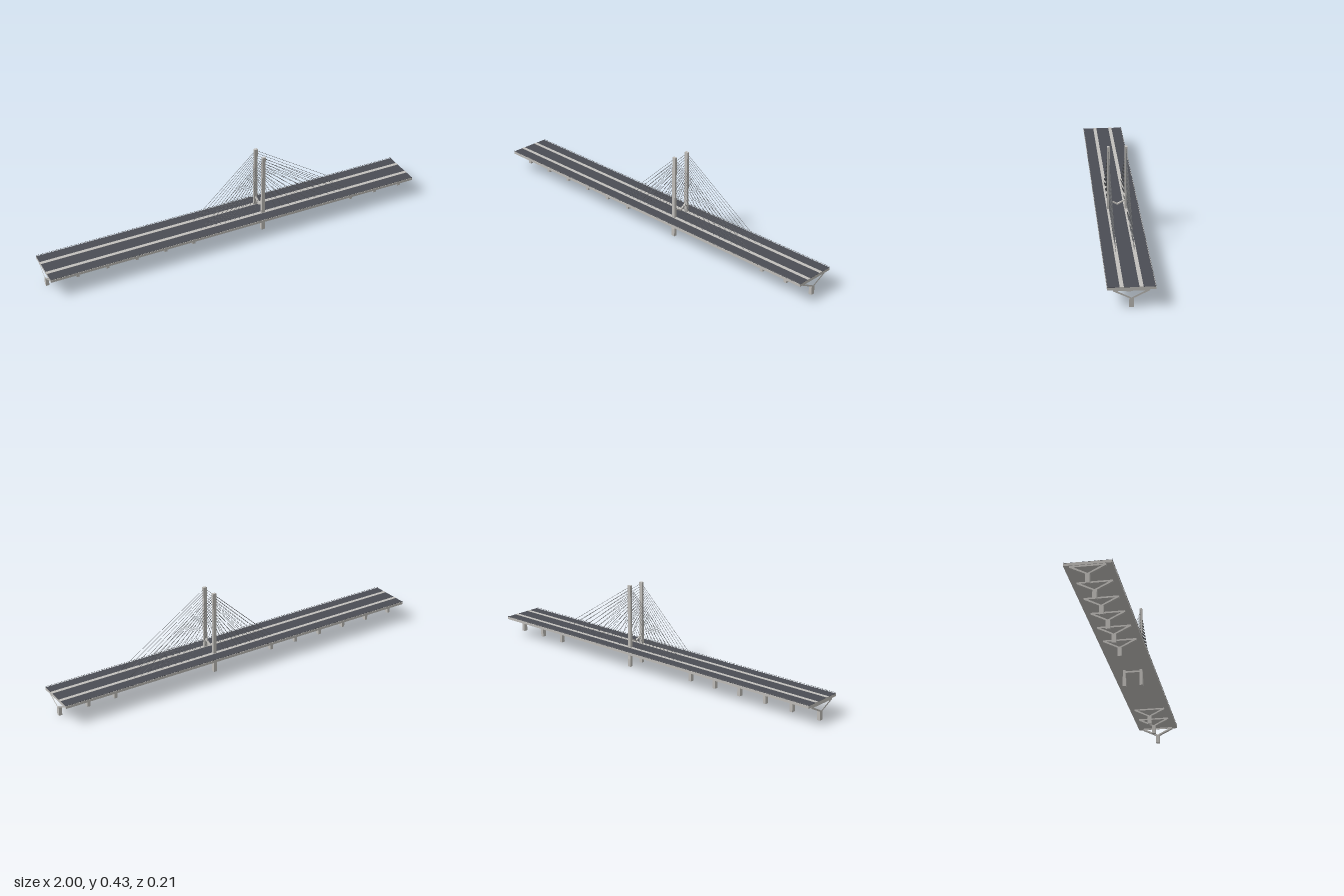
import * as THREE from 'three';

const concrete = new THREE.MeshStandardMaterial({ color: 0xc2c0bc });
concrete.name = 'concrete';
const asphalt = new THREE.MeshStandardMaterial({ color: 0x4b4d54 });
asphalt.name = 'asphalt';
const steel = new THREE.MeshStandardMaterial({ color: 0x66686b });
steel.name = 'steel';

const TOWER_X = 0.151, TOWER_Z = 0.043;

function add(parent, name, geometry, material, x = 0, y = 0, z = 0) {
  const mesh = new THREE.Mesh(geometry, material);
  mesh.name = name;
  mesh.position.set(x, y, z);
  parent.add(mesh);
  return mesh;
}

// Box given by its lower and upper corner
function box(parent, name, material, a, b) {
  return add(parent, name, new THREE.BoxGeometry(b[0] - a[0], b[1] - a[1], b[2] - a[2]), material,
    (a[0] + b[0]) / 2, (a[1] + b[1]) / 2, (a[2] + b[2]) / 2);
}

// Outline in (z, y), extruded along x and centred on x
function crossSection(parent, name, points, depth, x, holes = []) {
  const toVectors = (list) => list.map(([z, y]) => new THREE.Vector2(-z, y));
  const shape = new THREE.Shape(toVectors(points));
  holes.forEach((h) => shape.holes.push(new THREE.Path(toVectors(h))));
  const geometry = new THREE.ExtrudeGeometry(shape, { depth, bevelEnabled: false });
  geometry.translate(0, 0, -depth / 2);
  geometry.rotateY(Math.PI / 2);
  return add(parent, name, geometry, concrete, x);
}

function buildDeck(group) {
  const deck = new THREE.Group();
  deck.name = 'deck';
  group.add(deck);
  box(deck, 'deckSlab', concrete, [-1, 0.087, -0.107], [1, 0.1, 0.107]);
  // Three carriageways with two medians between them
  for (const [z0, z1] of [[-0.105, -0.052], [-0.034, 0.034], [0.052, 0.105]]) {
    box(deck, 'carriageway', asphalt, [-1, 0.1, z0], [1, 0.101, z1]);
  }
  for (const s of [-1, 1]) {
    add(deck, 'median', new THREE.BoxGeometry(2, 0.002, 0.018), concrete, 0, 0.101, s * TOWER_Z);
    // Edge railing: rail and posts
    add(deck, 'handrail', new THREE.BoxGeometry(2, 0.001, 0.001), steel, 0, 0.1045, s * 0.1065);
    const count = 80;
    const posts = new THREE.InstancedMesh(new THREE.BoxGeometry(0.0015, 0.005, 0.0015), steel, 1);
    for (let i = 0; i <= count; i++) {
      add(deck, 'railingPost', posts.geometry, steel, -0.998 + (1.996 * i) / count, 0.102, s * 0.1065);
    }
  }
}

// Y-shaped pier with a cap beam across the arms
function buildPier(group, x) {
  crossSection(group, 'pier', [
    [-0.01, 0], [0.01, 0], [0.01, 0.044], [0.081, 0.079], [0.081, 0.087],
    [-0.081, 0.087], [-0.081, 0.079], [-0.01, 0.044],
  ], 0.016, x, [[[0, 0.047], [0.062, 0.079], [-0.062, 0.079]]]);
}

function buildTower(group) {
  const tower = new THREE.Group();
  tower.name = 'tower';
  group.add(tower);
  for (const s of [-1, 1]) {
    const z = s * TOWER_Z;
    // Wider foot tapering into the underside of the deck
    crossSection(tower, 'towerFoot', [
      [z - 0.0085, 0], [z + 0.0085, 0], [z + 0.0085, 0.04],
      [z + 0.0065, 0.055], [z + 0.0065, 0.088],
      [z - 0.0065, 0.088], [z - 0.0065, 0.055], [z - 0.0085, 0.04],
    ], 0.018, TOWER_X);
    box(tower, 'towerShaft', concrete,
      [TOWER_X - 0.009, 0.088, z - 0.0065], [TOWER_X + 0.009, 0.427, z + 0.0065]);
  }
  box(tower, 'lowerCrossBeam', concrete,
    [TOWER_X - 0.008, 0.071, -TOWER_Z], [TOWER_X + 0.008, 0.08, TOWER_Z]);
  crossSection(tower, 'bentBrace', [
    [0, 0.122], [0.038, 0.143], [0.038, 0.149], [0, 0.129], [-0.038, 0.149], [-0.038, 0.143],
  ], 0.01, TOWER_X);
}

// Fan of stays from each shaft down to the medians
function buildStays(group) {
  const stays = new THREE.Group();
  stays.name = 'stays';
  group.add(stays);
  const count = 12;
  for (const s of [-1, 1]) {
    for (const reach of [-0.345, 0.495]) {
      for (let i = 1; i <= count; i++) {
        const t = i / count;
        const top = new THREE.Vector3(TOWER_X, 0.26 + 0.16 * t, s * TOWER_Z);
        const foot = new THREE.Vector3(TOWER_X + reach * (0.08 + 0.92 * t), 0.101, s * TOWER_Z);
        const stay = add(stays, 'stay',
          new THREE.CylinderGeometry(0.0008, 0.0008, top.distanceTo(foot), 6), steel);
        stay.position.copy(top).add(foot).multiplyScalar(0.5);
        stay.quaternion.setFromUnitVectors(new THREE.Vector3(0, 1, 0), top.sub(foot).normalize());
      }
    }
  }
}

export function createModel() {
  const model = new THREE.Group();
  model.name = 'cableStayedBridge';
  buildDeck(model);
  for (const x of [-0.989, -0.834, -0.679, -0.525, -0.371, -0.218, 0.69, 0.836, 0.985]) {
    buildPier(model, x);
  }
  buildTower(model);
  buildStays(model);
  return model;
}
